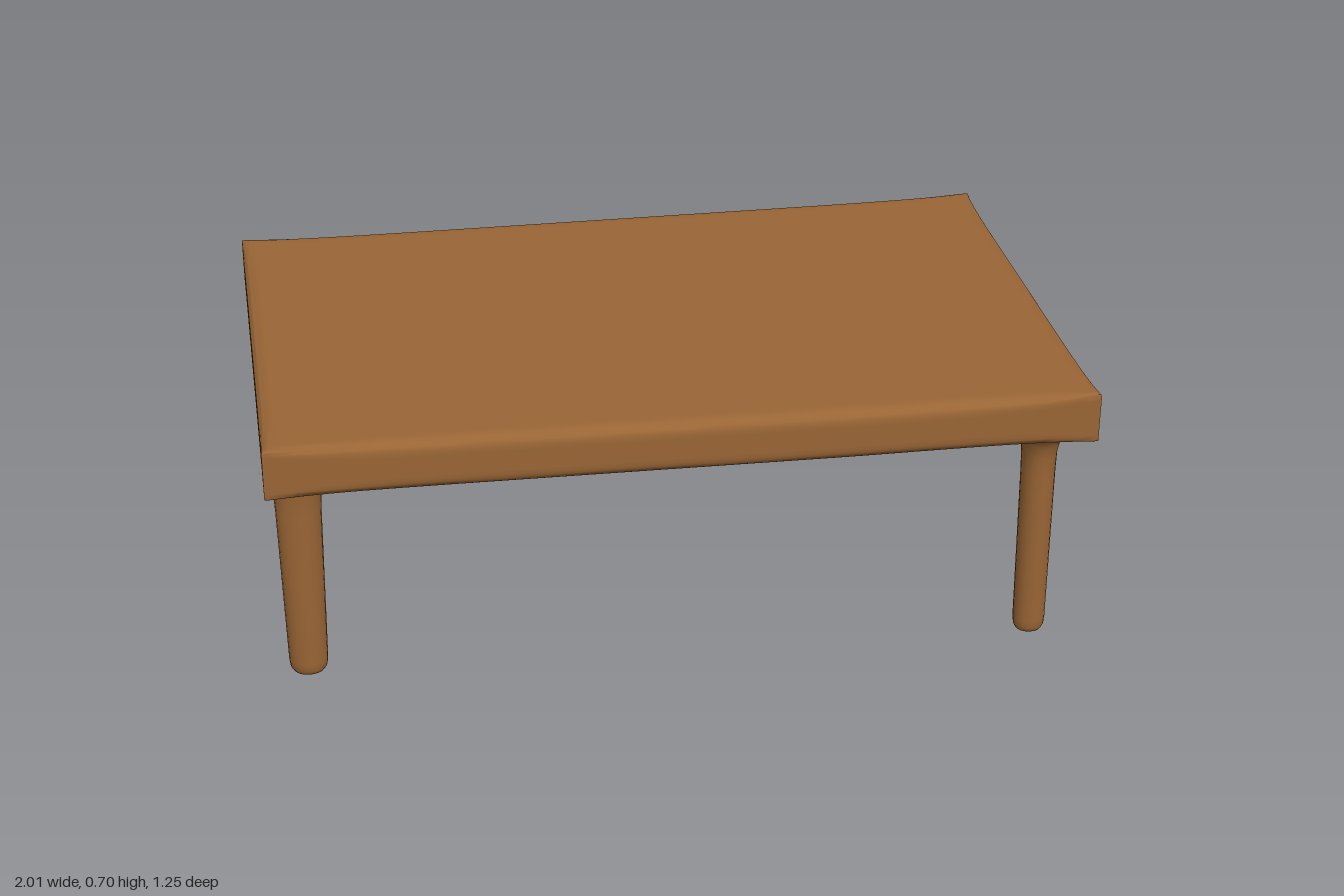
import * as THREE from 'three';
import { mergeVertices, toCreasedNormals } from 'three/addons/utils/BufferGeometryUtils.js';

const { lerp, clamp } = THREE.MathUtils;
const UNDERSIDE = 0.57;

// Slab whose edges are softest midway and turn crisp towards the corners
function slabGeometry() {
  const hx = 1, hy = 0.065, hz = 0.622;
  let geo = new THREE.BoxGeometry(2, 2, 2, 48, 16, 40);
  geo.deleteAttribute('uv');
  geo.deleteAttribute('normal');
  geo = mergeVertices(geo);
  const pos = geo.attributes.position;
  const crowd = t => Math.sin(t * Math.PI / 2);
  const soften = (a, ha, b, hb, r) => {
    const ca = clamp(a, r - ha, ha - r), cb = clamp(b, r - hb, hb - r);
    const da = a - ca, db = b - cb, len = Math.hypot(da, db);
    if (len < 1e-9) return [a, b];
    const k = Math.max(Math.abs(da), Math.abs(db)) / len;
    return [ca + da * k, cb + db * k];
  };
  for (let i = 0; i < pos.count; i++) {
    const u = crowd(pos.getX(i)), v = crowd(pos.getY(i)), w = crowd(pos.getZ(i));
    let x = u * hx, y = v * hy, z = w * hz;
    [z, y] = soften(z, hz, y, hy, 0.005 + 0.026 * (1 - u ** 8));
    [x, y] = soften(x, hx, y, hy, 0.005 + 0.02 * (1 - w ** 8));
    // The front edge runs slightly inwards towards the right
    if (z > 0) z -= 0.026 * (z / hz) * clamp((0.4 - x) / 1.4, 0, 1);
    pos.setXYZ(i, x, y, z);
  }
  return toCreasedNormals(geo, 0.7);
}

// Leg profile: radius factor and height, with rounded foot and flared head
const LEG_PROFILE = [
  [0, 0.004], [0.55, 0.004], [0.8, 0.009], [0.95, 0.02], [1, 0.04],
  [1, 0.25], [1, 0.46], [1.03, 0.51], [1.15, 0.54], [1.35, 0.56], [1.65, 0.577],
].map(p => new THREE.Vector2(...p));

// top and foot: [x, z, radius in x, radius in z]
function legGeometry(top, foot) {
  const geo = new THREE.LatheGeometry(LEG_PROFILE, 20);
  const pos = geo.attributes.position;
  for (let i = 0; i < pos.count; i++) {
    const y = pos.getY(i), t = clamp(y / 0.5, 0, 1);
    const [cx, cz, rx, rz] = top.map((v, k) => lerp(foot[k], v, t));
    pos.setXYZ(i, cx + pos.getX(i) * rx, y, cz + pos.getZ(i) * rz);
  }
  geo.deleteAttribute('uv');
  geo.deleteAttribute('normal');
  const smooth = mergeVertices(geo, 1e-5);
  smooth.computeVertexNormals();
  return smooth;
}

export function createModel() {
  const group = new THREE.Group();
  group.name = 'coffeeTable';
  const wood = new THREE.MeshStandardMaterial({ color: 0x996535 });
  wood.name = 'brown wood';

  const add = (name, geometry) => {
    const mesh = new THREE.Mesh(geometry, wood);
    mesh.name = name;
    group.add(mesh);
    return mesh;
  };

  add('tableTop', slabGeometry()).position.y = UNDERSIDE + 0.065;

  // Each leg leans and tapers a little differently
  const legs = {
    frontLeftLeg: [[0.885, 0.525, 0.042, 0.05], [0.885, 0.537, 0.04, 0.035]],
    frontRightLeg: [[-0.92, 0.445, 0.056, 0.042], [-0.918, 0.443, 0.047, 0.04]],
    backLeftLeg: [[0.885, -0.535, 0.042, 0.055], [0.885, -0.55, 0.04, 0.041]],
    backRightLeg: [[-0.9, -0.445, 0.047, 0.042], [-0.9, -0.465, 0.042, 0.04]],
  };
  for (const [name, [top, foot]] of Object.entries(legs)) add(name, legGeometry(top, foot));

  return group;
}
